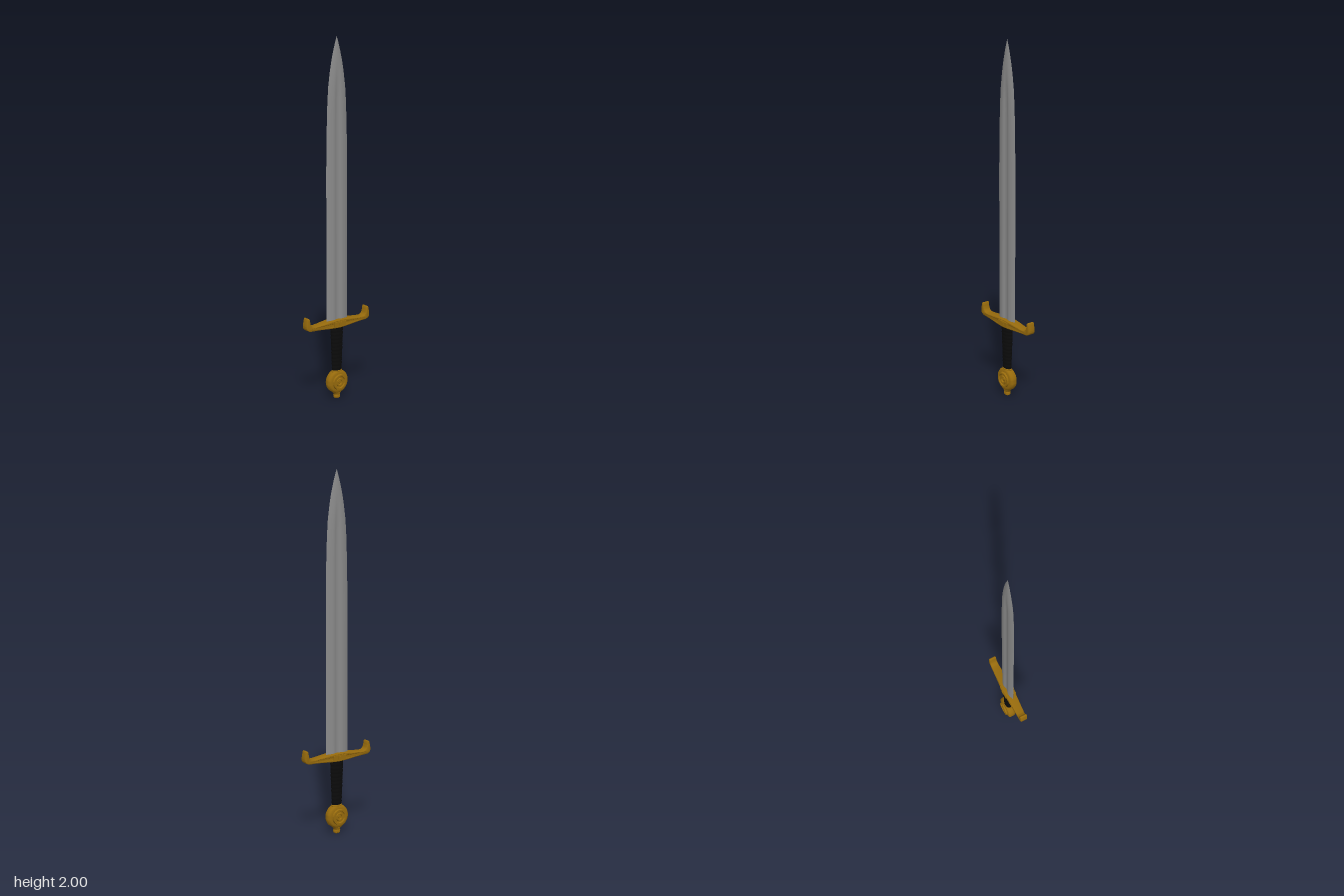
import * as THREE from 'three';
import { toCreasedNormals } from 'three/addons/utils/BufferGeometryUtils.js';

const steel = new THREE.MeshStandardMaterial({ name: 'steel', color: 0x8a8a8a });
const gold = new THREE.MeshStandardMaterial({ name: 'gold', color: 0x966a0c });
const leather = new THREE.MeshStandardMaterial({ name: 'black leather', color: 0x0b0b0b });

function addPart(parent, name, geometry, material) {
  const mesh = new THREE.Mesh(geometry, material);
  mesh.name = name;
  parent.add(mesh);
  return mesh;
}

// Linear lookup in a list of [position, value] pairs
function lookup(table, p) {
  for (let i = 1; i < table.length; i++) {
    const [a, va] = table[i - 1], [b, vb] = table[i];
    if (p <= b) return THREE.MathUtils.mapLinear(p, a, b, va, vb);
  }
  return table[table.length - 1][1];
}

// One face of the blade: a sheet with a central fuller, narrowing to the point
function bladeFace() {
  const widths = [[0.44, 0.071], [1.3, 0.07], [1.5, 0.067], [1.65, 0.062], [1.74, 0.056],
    [1.82, 0.045], [1.88, 0.034], [1.94, 0.019], [1.98, 0.007], [2, 0]];
  const ridge = [[0, 0.008], [0.12, 0.0085], [0.24, 0.012], [0.36, 0.0142], [0.5, 0.0138],
    [0.7, 0.0105], [0.88, 0.005], [1, 0]];
  const geo = new THREE.PlaneGeometry(2, 1, 40, 60);
  const pos = geo.attributes.position;
  for (let i = 0; i < pos.count; i++) {
    const u = pos.getX(i);
    const y = 0.44 + (pos.getY(i) + 0.5) * 1.56;
    const w = lookup(widths, y);
    const fade = THREE.MathUtils.smoothstep(y, 1.65, 1.92);
    const lens = 0.0145 * (1 - u * u);
    const thick = THREE.MathUtils.lerp(lookup(ridge, Math.abs(u)), lens, fade);
    const taper = THREE.MathUtils.lerp(1, 0.75, (y - 0.44) / 1.56) * Math.min(1, w / 0.05);
    pos.setXYZ(i, u * w, y, thick * taper);
  }
  geo.computeVertexNormals();
  return geo;
}

// Crossguard: mirrored outline with upturned ends, thinner towards the tips
function guardGeometry() {
  const s = new THREE.Shape();
  s.moveTo(0, 0.42);
  s.bezierCurveTo(0.07, 0.42, 0.11, 0.43, 0.175, 0.43);
  s.bezierCurveTo(0.205, 0.43, 0.217, 0.44, 0.216, 0.458);
  s.bezierCurveTo(0.215, 0.475, 0.212, 0.485, 0.21, 0.495);
  s.bezierCurveTo(0.208, 0.508, 0.197, 0.508, 0.195, 0.495);
  s.bezierCurveTo(0.193, 0.47, 0.187, 0.453, 0.165, 0.452);
  s.bezierCurveTo(0.12, 0.452, 0.07, 0.466, 0, 0.466);
  const right = s.getPoints(8);
  const left = right.slice(1, -1).reverse().map(p => new THREE.Vector2(-p.x, p.y));
  const geo = new THREE.ExtrudeGeometry(new THREE.Shape([...right.slice(0, -1), right[right.length - 1], ...left]), {
    depth: 0.054, steps: 1, bevelEnabled: true, bevelThickness: 0.005, bevelSize: 0.005,
    bevelOffset: -0.005, bevelSegments: 3,
  });
  geo.translate(0, 0, -0.027);
  const pos = geo.attributes.position;
  for (let i = 0; i < pos.count; i++) {
    const t = Math.min(1, Math.abs(pos.getX(i)) / 0.215);
    pos.setZ(i, pos.getZ(i) * THREE.MathUtils.lerp(1, 0.66, t));
  }
  return toCreasedNormals(geo, 0.7);
}

// Grip: tapering oval handle with wrapped ridges
function gripGeometry() {
  const points = [];
  const ridges = 13;
  for (let i = 0; i <= ridges * 6; i++) {
    const t = i / (ridges * 6);
    const r = THREE.MathUtils.lerp(0.028, 0.039, t);
    points.push(new THREE.Vector2(r + 0.0025 * Math.abs(Math.sin(t * ridges * Math.PI)), 0.15 + t * 0.285));
  }
  const geo = new THREE.LatheGeometry(points, 32);
  geo.scale(1, 1, 0.62);
  return geo;
}

// Lathe from [radius, height] pairs, keeping steps crisp
function turned(pairs, segments = 48) {
  return toCreasedNormals(new THREE.LatheGeometry(pairs.map(p => new THREE.Vector2(...p)), segments), 0.6);
}

export function createModel() {
  const sword = new THREE.Group();
  sword.name = 'sword';

  const blade = new THREE.Group();
  blade.name = 'blade';
  sword.add(blade);
  addPart(blade, 'bladeFront', bladeFace(), steel);
  addPart(blade, 'bladeBack', bladeFace(), steel).rotation.y = Math.PI;

  addPart(sword, 'crossguard', guardGeometry(), gold);
  // Small raised plates in the middle of the guard
  for (const side of [1, -1]) {
    addPart(sword, 'guardPlate', new THREE.BoxGeometry(0.078, 0.026, 0.006), gold).position.set(0, 0.443, side * 0.031);
    addPart(sword, 'guardPlateCentre', new THREE.BoxGeometry(0.02, 0.016, 0.005), gold).position.set(0, 0.443, side * 0.0345);
  }

  addPart(sword, 'grip', gripGeometry(), leather);

  // Wheel pommel: half profile of rings, mirrored to the other face
  const face = [[0, 0.028], [0.007, 0.028], [0.008, 0.024], [0.013, 0.024], [0.015, 0.033], [0.021, 0.033],
    [0.024, 0.028], [0.031, 0.028], [0.034, 0.034], [0.042, 0.034], [0.045, 0.024], [0.056, 0.023], [0.063, 0.019],
    [0.067, 0.011]];
  const profile = [...face.map(([r, h]) => [r, -h]), ...[...face].reverse()];
  const wheel = addPart(sword, 'pommelWheel', turned(profile), gold);
  wheel.rotation.x = Math.PI / 2;
  wheel.position.y = 0.1;

  // Rivet button flaring up into the wheel
  const button = turned([[0, 0], [0.014, 0], [0.02, 0.005], [0.021, 0.016], [0.018, 0.022], [0.022, 0.03],
    [0.032, 0.042], [0.046, 0.056], [0, 0.056]], 32);
  button.scale(1, 1, 0.85);
  const pos = button.attributes.position;
  for (let i = 0; i < pos.count; i++) pos.setZ(i, THREE.MathUtils.clamp(pos.getZ(i), -0.019, 0.019));
  addPart(sword, 'pommelButton', toCreasedNormals(button, 0.6), gold);

  // Collar between wheel and grip
  const collar = turned([[0, 0.145], [0.034, 0.145], [0.034, 0.164], [0.03, 0.168], [0, 0.168]], 32);
  collar.scale(1, 1, 0.62);
  addPart(sword, 'pommelCollar', collar, gold);

  return sword;
}
